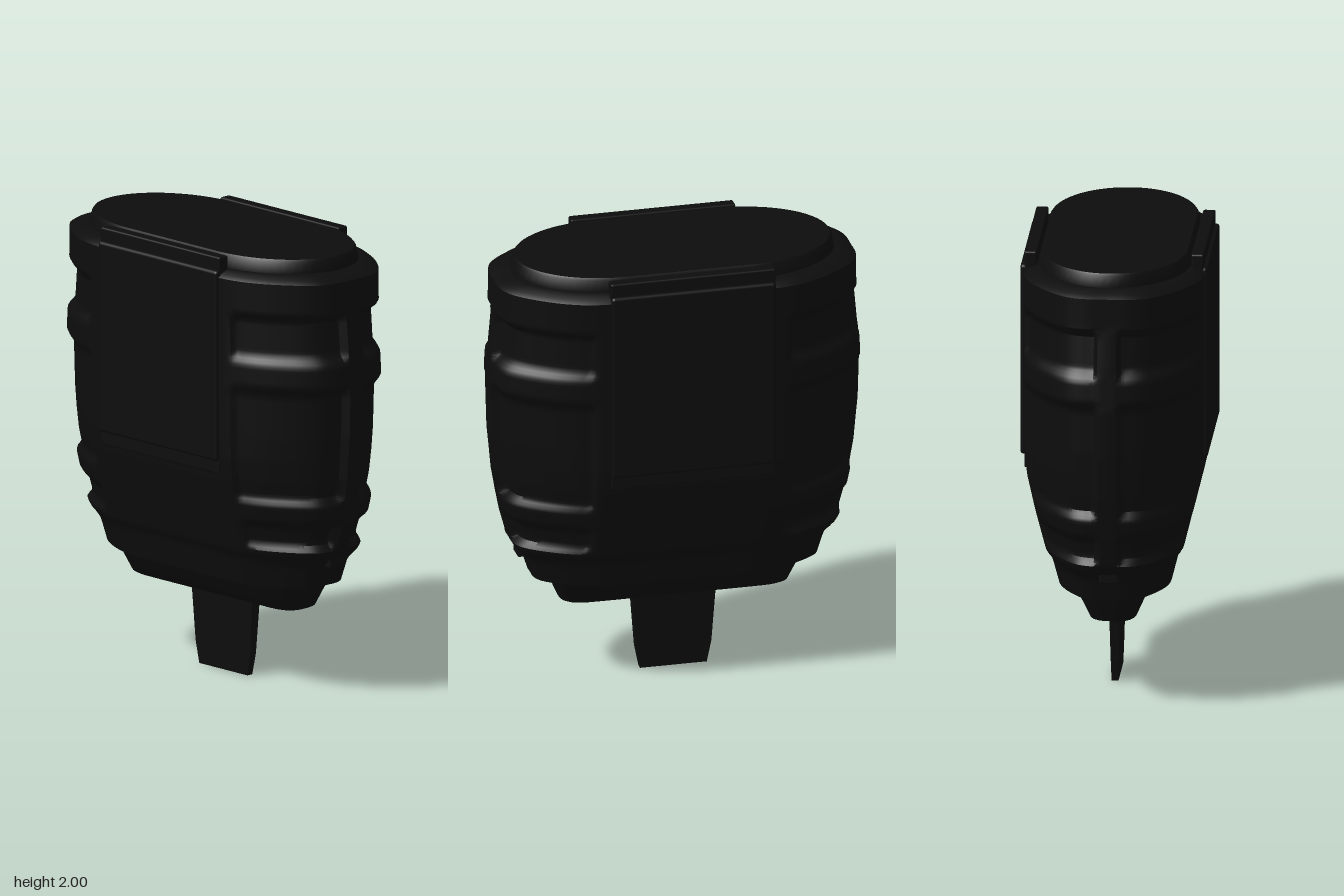
import * as THREE from 'three';
import { toCreasedNormals } from 'three/addons/utils/BufferGeometryUtils.js';
import { RoundedBoxGeometry } from 'three/addons/geometries/RoundedBoxGeometry.js';

const ss = THREE.MathUtils.smoothstep;

// Piecewise linear lookup in [[y, value], ...]
function lookup(table, y) {
  for (let i = 1; i < table.length; i++) {
    const [y0, a] = table[i - 1], [y1, b] = table[i];
    if (y <= y1) return a + (b - a) * (y - y0) / (y1 - y0);
  }
  return table[table.length - 1][1];
}

// Mirror a quarter outline (from +x round to +z) into a smooth closed ring of unit size
function ring(quarter, count) {
  const [sx, sz] = [quarter[0][0], quarter[quarter.length - 1][1]];
  const q = quarter.map(([x, z]) => [x / sx, z / sz]);
  const half = [...q, ...q.slice(0, -1).reverse().map(([x, z]) => [-x, z])];
  const all = [...half, ...half.slice(1, -1).reverse().map(([x, z]) => [x, -z])];
  const curve = new THREE.CatmullRomCurve3(all.map(([x, z]) => new THREE.Vector3(x * sx, 0, z * sz)), true);
  return curve.getSpacedPoints(count).slice(0, count).map(p => [p.x / sx, p.z / sz]);
}

// Skin rings stacked upward; rows are [y, halfX, halfZ], inset shrinks a point toward the axis
function loft(outline, rows, inset = () => 0, crease = 0.6) {
  const n = outline.length, pos = [], index = [];
  const closed = [[rows[0][0], 0, 0], ...rows, [rows[rows.length - 1][0], 0, 0]];
  for (const [y, sx, sz] of closed) {
    for (const [u, v] of outline) {
      const k = 1 - inset(u * sx, y, v * sz);
      pos.push(u * sx * k, y, v * sz * k);
    }
  }
  for (let i = 0; i < closed.length - 1; i++) {
    for (let j = 0; j < n; j++) {
      const a = i * n + j, c = i * n + (j + 1) % n, b = a + n, d = c + n;
      if (i > 0) index.push(a, b, c);
      if (i < closed.length - 2) index.push(c, b, d);
      if (i === 0) index.push(a, b, d);
    }
  }
  const geo = new THREE.BufferGeometry();
  geo.setAttribute('position', new THREE.Float32BufferAttribute(pos, 3));
  geo.setIndex(index);
  return toCreasedNormals(geo, crease);
}

export function createModel() {
  const group = new THREE.Group();
  const black = new THREE.MeshStandardMaterial({ color: 0x0d0d0d });
  black.name = 'matte black';
  const add = (name, geo, x = 0, y = 0, z = 0) => {
    const mesh = new THREE.Mesh(geo, black);
    mesh.name = name;
    mesh.position.set(x, y, z);
    group.add(mesh);
    return mesh;
  };

  // Main housing: lobed oval section, barrel-shaped side profile
  const lobed = ring([[0.83, 0], [0.828, 0.1], [0.805, 0.17], [0.765, 0.22], [0.7, 0.275],
    [0.6, 0.34], [0.5, 0.382], [0.4, 0.4], [0.2, 0.4], [0, 0.4]], 200);
  const halfX = [[0.5, 0.64], [0.6, 0.67], [0.65, 0.72], [0.68, 0.738], [0.8, 0.77], [1, 0.808],
    [1.2, 0.828], [1.4, 0.834], [1.6, 0.822], [1.78, 0.806], [1.91, 0.804]];
  const halfZ = [[0.5, 0.245], [0.63, 0.278], [0.66, 0.3], [0.85, 0.347], [1, 0.379], [1.1, 0.39],
    [1.4, 0.395], [1.91, 0.395]];
  const rows = [];
  for (let i = 0; i <= 94; i++) {
    const y = 0.5 + i * 0.015;
    rows.push([y, lookup(halfX, y), lookup(halfZ, y)]);
  }
  rows.push([1.925, 0.78, 0.38], [1.94, 0.72, 0.34]);

  // Recessed grips on both ends, crossed by two ribs and a central spine
  const band = (y, lo, hi, soft) => ss(y, lo - soft, lo) * (1 - ss(y, hi, hi + soft));
  const grip = (x, y, z) => {
    const area = ss(Math.abs(x), 0.42, 0.48) * ss(Math.abs(z), 0.035, 0.07) * band(y, 0.72, 1.73, 0.045);
    const ribs = Math.max(band(y, 1.45, 1.53, 0.06), band(y, 0.83, 0.89, 0.05));
    return 0.055 * area * (1 - 0.85 * ribs);
  };
  add('housing', loft(lobed, rows, grip));

  // Raised oval lid and tapered foot
  const oval = ring([[0.71, 0], [0.69, 0.1], [0.62, 0.2], [0.5, 0.28], [0.36, 0.32], [0.2, 0.325], [0, 0.325]], 96);
  add('lid', loft(oval, [[1.92, 0.72, 0.335], [1.94, 0.72, 0.335], [1.99, 0.71, 0.325], [2, 0.703, 0.318]]));
  const footOutline = ring([[0.57, 0], [0.565, 0.07], [0.54, 0.125], [0.48, 0.155], [0.4, 0.16], [0, 0.16]], 80);
  add('foot', loft(footOutline, [[0.367, 0.5, 0.095], [0.373, 0.513, 0.103], [0.51, 0.572, 0.162]]));

  // Flat connector blade
  const blade = new THREE.Shape([[-0.15, 0], [0.15, 0], [0.17, 0.1], [0.19, 0.38], [-0.19, 0.38], [-0.17, 0.1]]
    .map(p => new THREE.Vector2(...p)));
  const bladeGeo = new THREE.ExtrudeGeometry(blade, { depth: 1, bevelEnabled: false });
  const p = bladeGeo.attributes.position;
  for (let i = 0; i < p.count; i++) {
    const half = 0.015 + 0.03 * p.getY(i) / 0.38 * 0.33;
    p.setZ(i, -0.011 + (p.getZ(i) - 0.5) * 2 * half);
  }
  bladeGeo.computeVertexNormals();
  add('blade', bladeGeo);

  // Front and back clip panels: a backing plate rising past the collar, with a raised cover
  for (const side of [1, -1]) {
    const name = side > 0 ? 'front' : 'back';
    add(name + 'PanelBacking', new RoundedBoxGeometry(0.74, 0.98, 0.055, 2, 0.008), 0, 1.51, side * 0.3655);
    add(name + 'PanelCover', new RoundedBoxGeometry(0.74, 0.86, 0.06, 3, 0.015), 0, 1.51, side * 0.381);
    // Small latch tab low on each end
    add(side > 0 ? 'leftTab' : 'rightTab', new RoundedBoxGeometry(0.08, 0.11, 0.09, 2, 0.01), side * 0.665, 0.645, 0);
  }
  return group;
}
